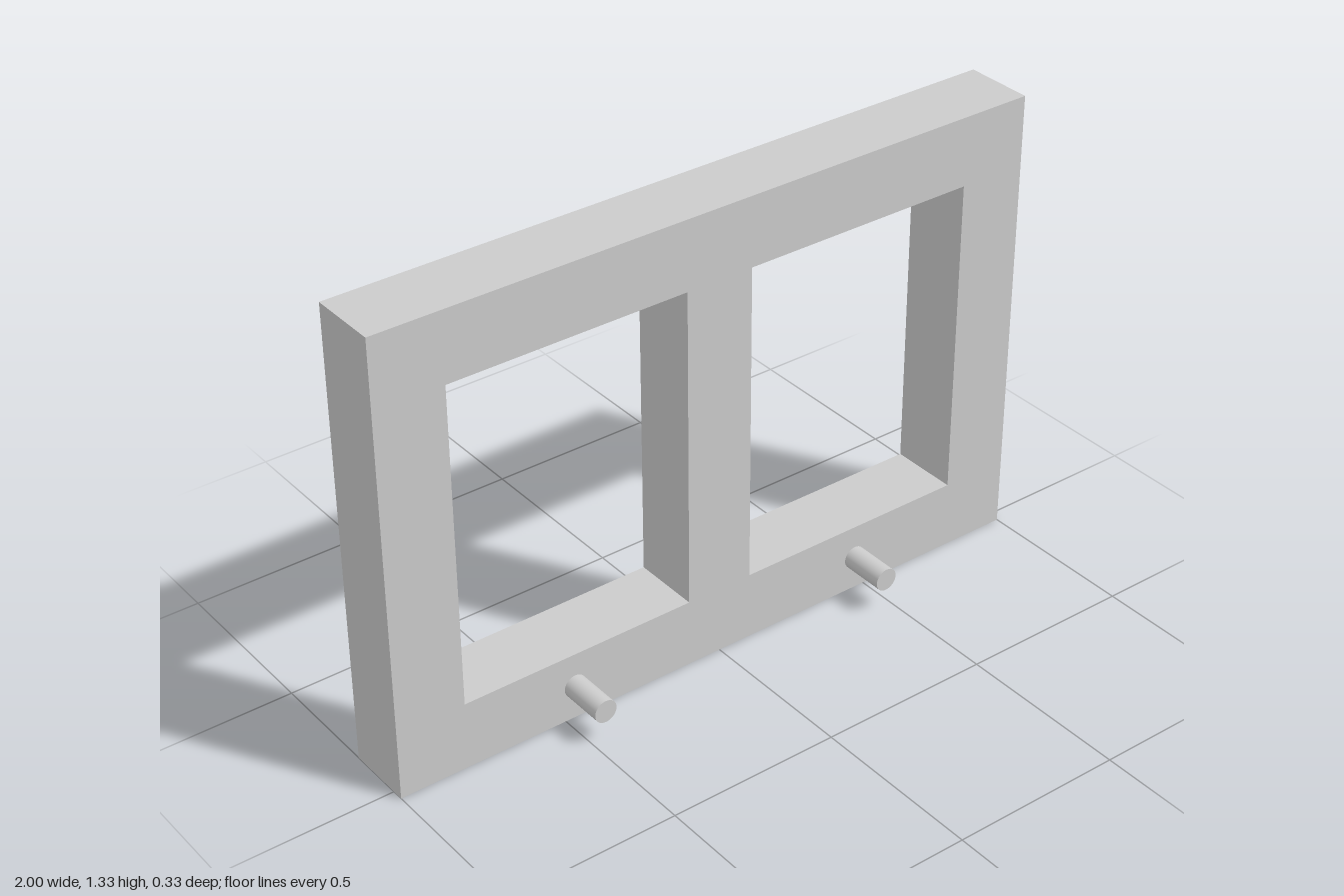
import * as THREE from 'three';

const WIDTH = 2, HEIGHT = 4 / 3, DEPTH = 0.2, BORDER = 0.2;
const BACK_Z = -1 / 6, FRONT_Z = BACK_Z + DEPTH;
const PEG_RADIUS = 1 / 30, PEG_LENGTH = 2 / 15, PEG_X = 7 / 15;

// Rectangular outline, usable as a shape or a hole
function rectangle(path, x0, y0, x1, y1) {
  path.moveTo(x0, y0);
  path.lineTo(x1, y0);
  path.lineTo(x1, y1);
  path.lineTo(x0, y1);
  path.closePath();
  return path;
}

export function createModel() {
  const model = new THREE.Group();
  model.name = 'doubleWindowFrame';
  const material = new THREE.MeshStandardMaterial({ color: 0xcccccc });

  // Frame with two openings and a central mullion
  const outline = rectangle(new THREE.Shape(), -WIDTH / 2, 0, WIDTH / 2, HEIGHT);
  const inner = BORDER / 2, outer = WIDTH / 2 - BORDER;
  for (const [x0, x1] of [[-outer, -inner], [inner, outer]]) {
    outline.holes.push(rectangle(new THREE.Path(), x0, BORDER, x1, HEIGHT - BORDER));
  }
  const frameGeometry = new THREE.ExtrudeGeometry(outline, { depth: DEPTH, bevelEnabled: false });
  const frame = new THREE.Mesh(frameGeometry, material);
  frame.name = 'frame';
  frame.position.z = BACK_Z;
  model.add(frame);

  // Round pegs projecting from the bottom rail
  const pegGeometry = new THREE.CylinderGeometry(PEG_RADIUS, PEG_RADIUS, PEG_LENGTH, 32);
  pegGeometry.rotateX(Math.PI / 2);
  for (const side of [-1, 1]) {
    const peg = new THREE.Mesh(pegGeometry, material);
    peg.name = side > 0 ? 'leftPeg' : 'rightPeg';
    peg.position.set(side * PEG_X, BORDER / 2, FRONT_Z + PEG_LENGTH / 2);
    model.add(peg);
  }

  return model;
}
